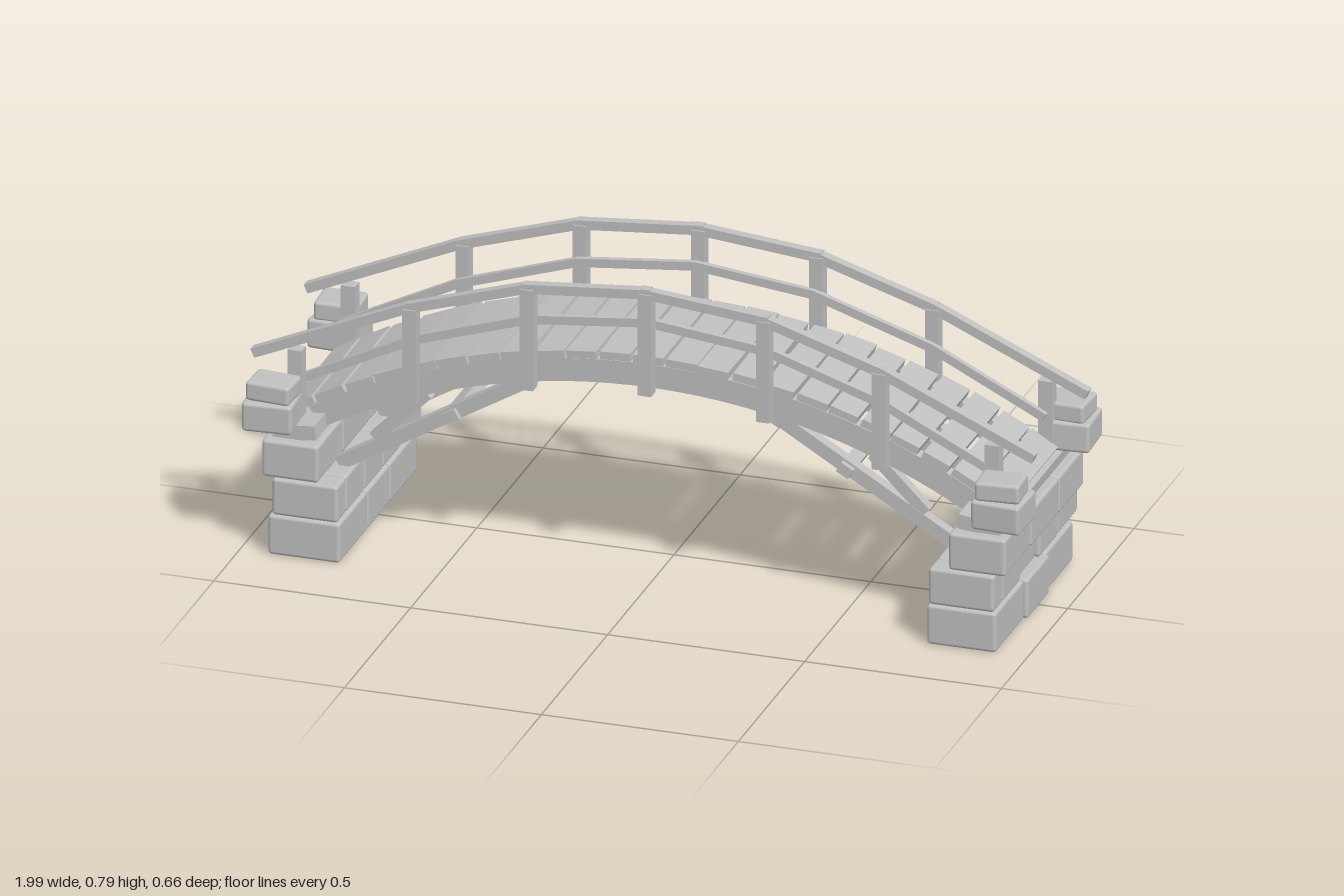
import * as THREE from 'three';
import { RoundedBoxGeometry } from 'three/addons/geometries/RoundedBoxGeometry.js';

export function createModel() {
  const bridge = new THREE.Group();
  bridge.name = 'footbridge';
  const grey = new THREE.MeshStandardMaterial({ color: 0xc0c0c0 });
  grey.name = 'plain grey';
  const CZ = 0.014; // middle of the deck in z

  // small repeatable irregularity, -1..1
  let seed = 7;
  const rnd = () => {
    seed = (seed * 16807) % 2147483647;
    return (seed / 2147483647) * 2 - 1;
  };

  const add = (name, geometry, parent = bridge) => {
    const mesh = new THREE.Mesh(geometry, grey);
    mesh.name = name;
    parent.add(mesh);
    return mesh;
  };
  const group = (name) => {
    const g = new THREE.Group();
    g.name = name;
    bridge.add(g);
    return g;
  };
  // box given by its limits
  const block = (name, x0, x1, y0, y1, z0, z1, parent) => {
    const m = add(name, new THREE.BoxGeometry(x1 - x0, y1 - y0, z1 - z0), parent);
    m.position.set((x0 + x1) / 2, (y0 + y1) / 2, (z0 + z1) / 2);
    return m;
  };
  // straight timber between two points of the xy plane
  const beam = (name, a, b, thick, depth, z, parent, extra = 0) => {
    const dx = b[0] - a[0], dy = b[1] - a[1];
    const m = add(name, new THREE.BoxGeometry(Math.hypot(dx, dy) + extra, thick, depth), parent);
    m.position.set((a[0] + b[0]) / 2, (a[1] + b[1]) / 2, z);
    m.rotation.z = Math.atan2(dy, dx);
    return m;
  };
  // stone with softened edges
  const stone = (name, x0, x1, y0, y1, z0, z1, parent) => {
    const g = new RoundedBoxGeometry(Math.abs(x1 - x0), y1 - y0, z1 - z0, 2, 0.009);
    const m = add(name, g, parent);
    m.position.set((x0 + x1) / 2, (y0 + y1) / 2, (z0 + z1) / 2);
    return m;
  };

  // arched stringers under the deck
  const arcY = -1.115, rIn = 1.64, rOut = 1.7;
  const span = 0.53;
  const arch = new THREE.Shape();
  arch.absarc(0, arcY, rOut, Math.PI / 2 - span, Math.PI / 2 + span, false);
  arch.absarc(0, arcY, rIn, Math.PI / 2 + span, Math.PI / 2 - span, true);
  const archGeometry = new THREE.ExtrudeGeometry(arch, { depth: 0.035, bevelEnabled: false, curveSegments: 20 });
  for (const z of [CZ + 0.15, CZ - 0.185]) add('stringer', archGeometry).position.z = z;

  // deck planks following the arch
  const deck = group('deck');
  const planks = 23, step = 1.13 / planks;
  for (let i = 0; i < planks; i++) {
    const a = (i - (planks - 1) / 2) * step + rnd() * 0.001;
    const r = rOut + 0.01 + rnd() * 0.002;
    const width = 0.076 + rnd() * 0.004;
    const p = add('plank', new THREE.BoxGeometry(width, 0.02, 0.37 + rnd() * 0.006), deck);
    p.position.set(Math.sin(a) * r, arcY + Math.cos(a) * r, CZ);
    p.rotation.set(0, rnd() * 0.012, -a + rnd() * 0.02);
  }

  // railings
  const topRail = [[-0.99, 0.487], [-0.6, 0.658], [-0.3, 0.752], [0, 0.78], [0.3, 0.752], [0.6, 0.658], [0.985, 0.487]];
  const midRail = [[-0.885, 0.42], [-0.6, 0.562], [-0.3, 0.66], [0, 0.693], [0.3, 0.66], [0.6, 0.562], [0.885, 0.42]];
  const posts = [[-0.595, 0.405, 0.668], [-0.297, 0.488, 0.764], [0.003, 0.515, 0.793], [0.303, 0.488, 0.764], [0.597, 0.405, 0.668]];
  for (const s of [1, -1]) {
    const railing = group(s > 0 ? 'frontRailing' : 'backRailing');
    const zPost = CZ + s * 0.201;
    for (let i = 0; i < 6; i++) {
      beam('handrail', topRail[i], topRail[i + 1], 0.024, 0.025, zPost, railing, 0.008);
      beam('middleRail', midRail[i], midRail[i + 1], 0.022, 0.015, CZ + s * 0.178, railing, 0.005);
    }
    for (const [x, y0, y1] of posts) {
      block('post', x - 0.017, x + 0.017, y0, y1 - 0.012, zPost - 0.017, zPost + 0.017, railing);
      block('postTop', x - 0.012, x + 0.012, y1 - 0.015, y1, zPost - 0.013, zPost + 0.013, railing);
    }
    for (const x of [-0.885, 0.885]) {
      block('endPost', x - 0.018, x + 0.018, 0.32, 0.51, zPost - 0.017, zPost + 0.017, railing);
    }
  }

  // diagonal braces with their cross beams
  for (const d of [1, -1]) {
    const bracing = group(d > 0 ? 'leftBracing' : 'rightBracing');
    for (const s of [1, -1]) {
      const z = CZ + s * 0.155;
      beam('brace', [d * 0.32, 0.485], [d * 0.79, 0.205], 0.035, 0.03, z, bracing);
      beam('strut', [d * 0.7, 0.285], [d * 0.565, 0.42], 0.03, 0.028, z, bracing);
    }
    for (const [x, y] of [[0.325, 0.485], [0.5, 0.375]]) {
      const c = add('crossBeam', new THREE.BoxGeometry(0.035, 0.028, 0.37), bracing);
      c.position.set(d * x, y, CZ);
      c.rotation.z = -d * 0.53;
    }
  }

  // stone abutments: courses of x inner, x outer, bottom, top, joints in z
  const courses = [
    [0.745, 0.925, 0, 0.104, [-0.28, -0.073, 0.093, 0.31]],
    [0.75, 0.912, 0.106, 0.202, [-0.332, -0.175, -0.035, 0.104, 0.243, 0.312]],
    [0.8, 0.942, 0.203, 0.3, [-0.28, -0.09, 0.118, 0.31]],
  ];
  for (const d of [1, -1]) {
    const abutment = group(d > 0 ? 'leftAbutment' : 'rightAbutment');
    for (const [xi, xo, y0, y1, joints] of courses) {
      for (let i = 0; i < joints.length - 1; i++) {
        const outer = xo + rnd() * 0.006;
        stone('stone', d * xi, d * outer, y0, y1, joints[i] + 0.001, joints[i + 1] - 0.001, abutment);
      }
    }
    block('sill', d * 0.87 - 0.055, d * 0.87 + 0.055, 0.298, 0.335, -0.25, 0.283, abutment).rotation.z = -d * 0.12;
    // corner stones beside the deck ends
    for (const s of [1, -1]) {
      const z0 = s > 0 ? 0.212 : -0.303, z1 = s > 0 ? 0.33 : -0.176;
      const low = stone('cornerStone', d * 0.865, d * 0.99, 0.327, 0.403, z0, z1, abutment);
      low.rotation.set(s * 0.03, -d * s * 0.06, 0);
      const cap = stone('capStone', d * 0.868, d * 0.98, 0.4, 0.45, z0 + 0.018, z1 - 0.01, abutment);
      cap.rotation.set(0, d * s * 0.05, d * 0.02);
    }
  }

  return bridge;
}
